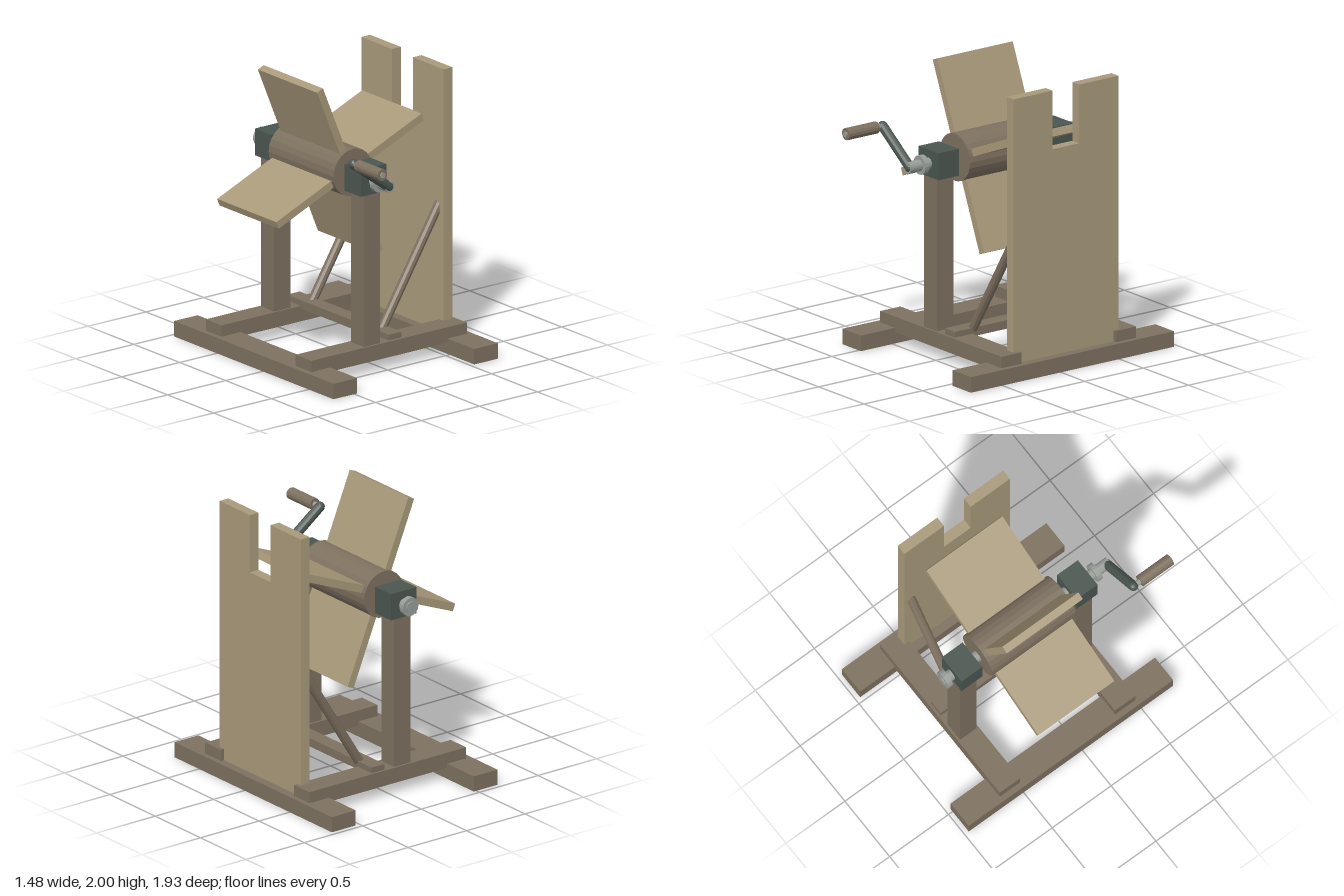
import * as THREE from 'three';

const mat = (color) => new THREE.MeshStandardMaterial({ color, flatShading: true });

export function createModel() {
  const model = new THREE.Group();
  const wood = mat(0x7d705f), plank = mat(0xa8997a), iron = mat(0x4a5650), steel = mat(0x989d98);

  const add = (name, geometry, material, parent = model) => {
    const mesh = new THREE.Mesh(geometry, material);
    mesh.name = name;
    parent.add(mesh);
    return mesh;
  };
  // Box given by its limits on each axis
  const box = (name, material, [x0, x1], [y0, y1], [z0, z1]) => {
    const mesh = add(name, new THREE.BoxGeometry(x1 - x0, y1 - y0, z1 - z0), material);
    mesh.position.set((x0 + x1) / 2, (y0 + y1) / 2, (z0 + z1) / 2);
    return mesh;
  };
  // Cylinder between two points
  const rod = (name, material, a, b, radius, sides) => {
    const from = new THREE.Vector3(...a), to = new THREE.Vector3(...b);
    const dir = to.clone().sub(from);
    const mesh = add(name, new THREE.CylinderGeometry(radius, radius, dir.length(), sides), material);
    mesh.position.copy(from).add(to).multiplyScalar(0.5);
    mesh.quaternion.setFromUnitVectors(new THREE.Vector3(0, 1, 0), dir.normalize());
    return mesh;
  };

  const ax = -0.105, ay = 1.365; // axle centre

  // Base frame
  box('rightSkid', wood, [-0.68, -0.477], [0, 0.11], [-0.965, 0.77]);
  box('leftSkid', wood, [0.533, 0.737], [0, 0.11], [-0.965, 0.77]);
  box('crossBar', wood, [0.045, 0.155], [0.17, 0.23], [-0.653, 0.457]);

  // Rails, posts and bearing blocks at each end of the axle
  for (const [side, z] of [['front', 0.393], ['back', -0.585]]) {
    box(side + 'Rail', wood, [-0.64, 0.70], [0.08, 0.19], [z - 0.086, z + 0.086]);
    box(side + 'Post', wood, [ax - 0.07, ax + 0.07], [0.18, 1.29], [z - 0.07, z + 0.07]);
    box(side + 'Bearing', iron, [ax - 0.11, ax + 0.11], [1.27, 1.46], [z - 0.088, z + 0.088]);
  }

  // Diagonal struts bracing the back board
  for (const z of [0.28, -0.478]) rod('strut', wood, [0.12, 0.205, z], [0.635, 1.03, z], 0.033, 10);

  // Upright board with a slot cut into its top edge
  const outline = new THREE.Shape([
    [-0.355, 0.11], [0.54, 0.11], [0.54, 1.98], [0.205, 1.98],
    [0.205, 1.565], [-0.022, 1.565], [-0.022, 1.98], [-0.355, 1.98],
  ].map(([u, v]) => new THREE.Vector2(u, v)));
  const board = add('slottedBoard', new THREE.ExtrudeGeometry(outline, { depth: 0.075, bevelEnabled: false }), plank);
  board.rotation.y = Math.PI / 2;
  board.position.x = 0.598;

  // Axle with collars
  rod('axle', steel, [ax, ay, -0.758], [ax, ay, 0.66], 0.04, 16);
  for (const z of [0.54, -0.73]) rod('collar', steel, [ax, ay, z - 0.019], [ax, ay, z + 0.019], 0.067, 16);

  // Drum with four paddles
  rod('drum', wood, [ax, ay, -0.452], [ax, ay, 0.255], 0.167, 24);
  for (let i = 0; i < 4; i++) {
    const paddle = new THREE.Group();
    paddle.name = 'paddle';
    paddle.position.set(ax, ay, -0.098);
    paddle.rotation.z = Math.PI / 8 + i * Math.PI / 2;
    add('paddleBoard', new THREE.BoxGeometry(0.54, 0.055, 0.645), plank, paddle).position.x = 0.407;
    model.add(paddle);
  }

  // Hand crank
  const hx = -0.405, hy = 1.585;
  rod('crankArm', iron, [ax, ay, 0.64], [hx, hy, 0.64], 0.035, 12);
  for (const [x, y] of [[ax, ay], [hx, hy]]) {
    add('crankJoint', new THREE.SphereGeometry(0.035, 12, 8), iron).position.set(x, y, 0.64);
  }
  rod('handlePin', steel, [hx, hy, 0.62], [hx, hy, 0.963], 0.021, 12);
  rod('handleGrip', wood, [hx, hy, 0.695], [hx, hy, 0.955], 0.042, 14);

  return model;
}
